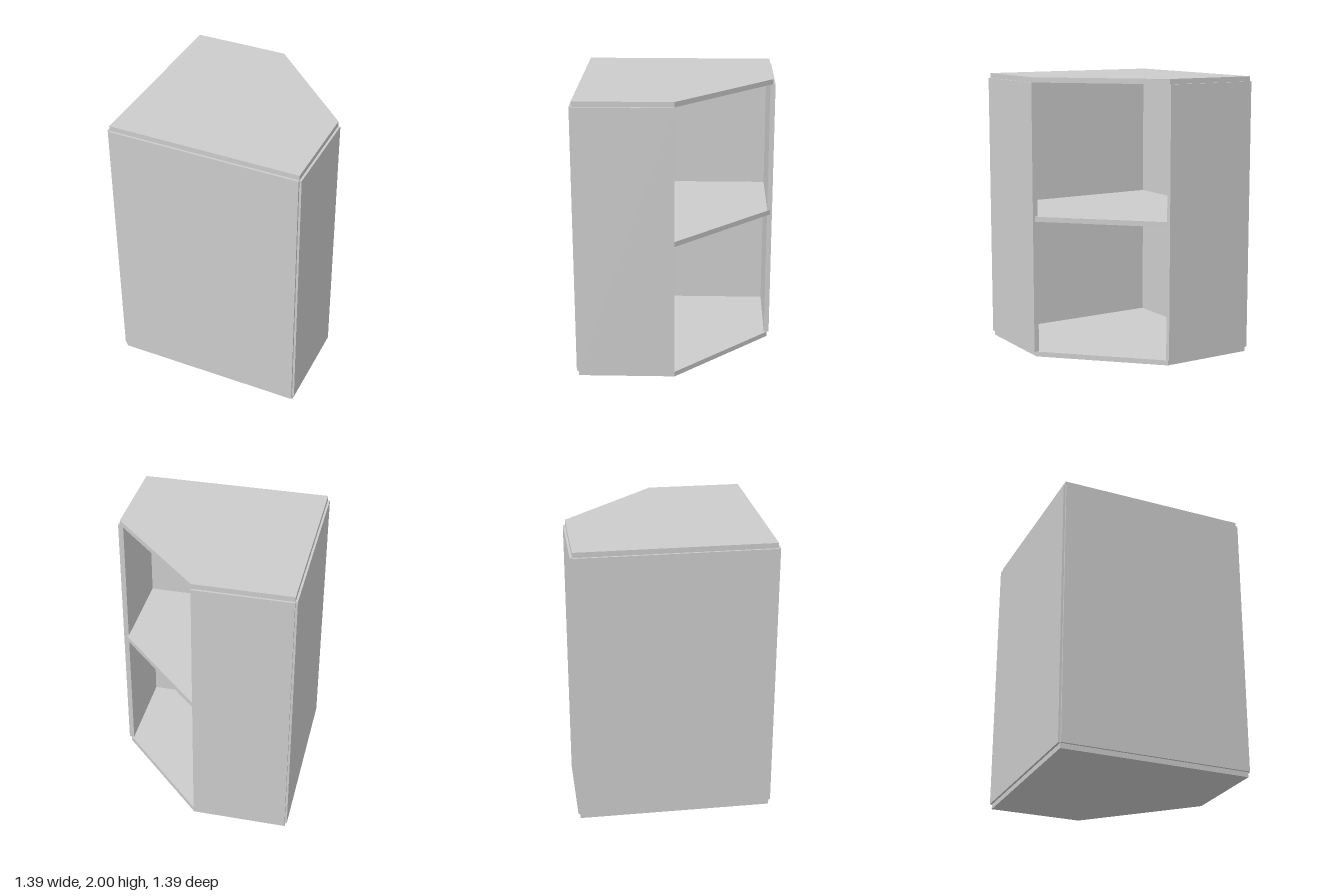
import * as THREE from 'three';

export function createModel() {
  const group = new THREE.Group();
  const paint = new THREE.MeshStandardMaterial({ color: 0xcccccc });
  paint.name = 'paleGrey';

  const E = 0.68;      // shelf half-width
  const OUT = 0.695;   // outer face of the panels
  const T = 0.036;     // board thickness

  const add = (name, geometry, x, y, z) => {
    const mesh = new THREE.Mesh(geometry, paint);
    mesh.name = name;
    mesh.position.set(x, y, z);
    group.add(mesh);
  };

  // Five-sided boards with the back corner cut off (shape y becomes -z)
  const outline = new THREE.Shape([
    [-E, -E], [E, -E], [E, 0], [0, E], [-E, E],
  ].map(([x, y]) => new THREE.Vector2(x, y)));
  const board = new THREE.ExtrudeGeometry(outline, { depth: T, bevelEnabled: false });
  board.rotateX(-Math.PI / 2);
  add('bottomBoard', board, 0, 0, 0);
  add('middleShelf', board, 0, 0.985, 0);
  add('topBoard', board, 0, 2 - T, 0);

  // Upright panels between the top and bottom boards
  const H = 2 - 2 * T;
  const mid = OUT - T / 2;
  const panelX = (length) => new THREE.BoxGeometry(length, H, T);
  const panelZ = (length) => new THREE.BoxGeometry(T, H, length);
  add('frontPanel', panelX(2 * E), 0, 1, mid);
  add('rightPanel', panelZ(2 * E), -mid, 1, 0);
  add('leftPanel', panelZ(E), mid, 1, E / 2);
  add('backPanel', panelX(E), -E / 2, 1, -mid);

  return group;
}
